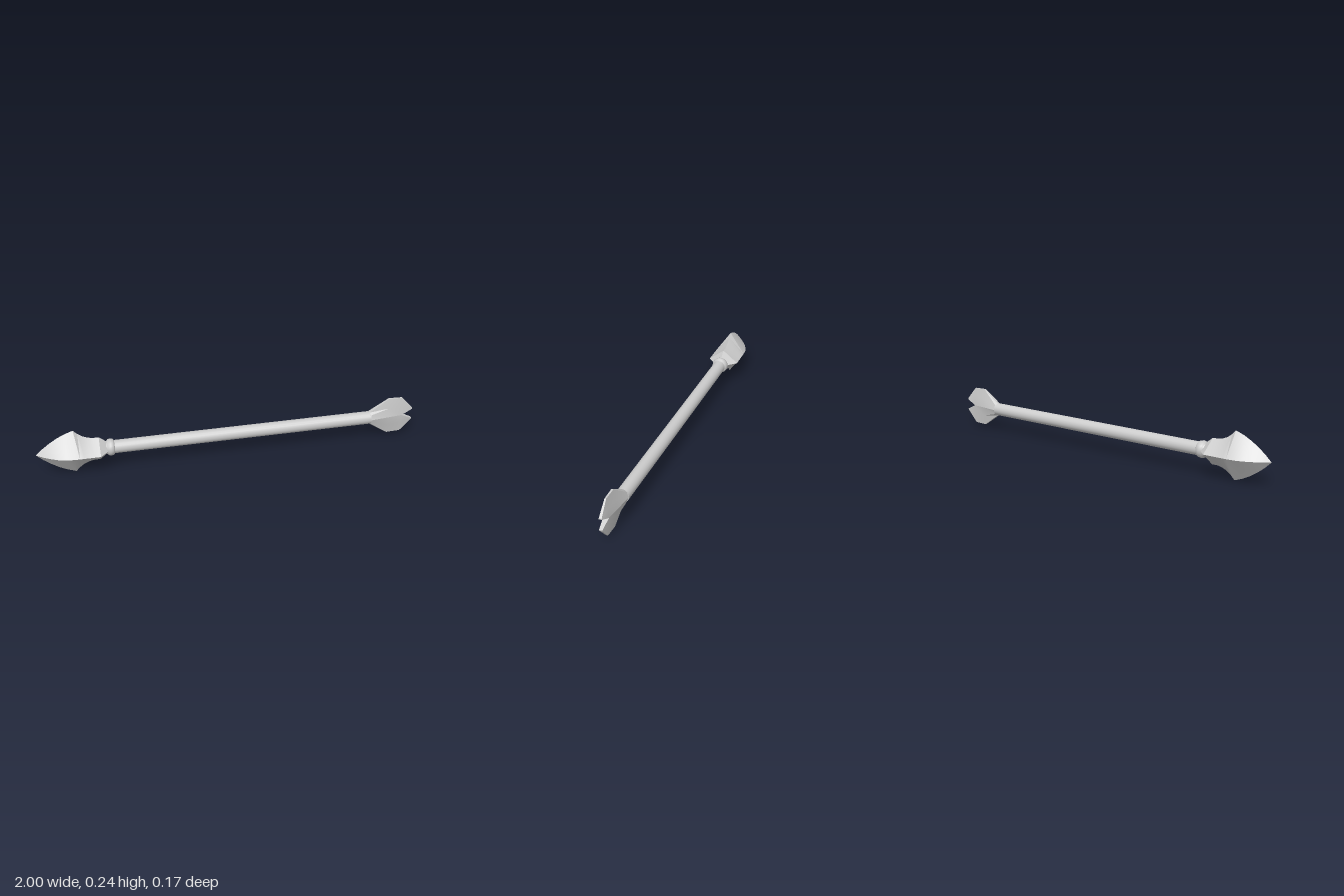
import * as THREE from 'three';
import { toCreasedNormals } from 'three/addons/utils/BufferGeometryUtils.js';

const AXIS_Y = 0.124;
const material = new THREE.MeshStandardMaterial({ color: 0xcccccc });

// Skin rings of [x, y, z] points, ordered from low to high x, with closed ends.
function loft(rings, crease) {
  const pos = [];
  const tri = (a, b, c) => pos.push(...a, ...b, ...c);
  const n = rings[0].length;
  for (let r = 0; r < rings.length - 1; r++) {
    const a = rings[r], b = rings[r + 1];
    for (let i = 0; i < n; i++) {
      const j = (i + 1) % n;
      tri(a[i], a[j], b[j]);
      tri(a[i], b[j], b[i]);
    }
  }
  const first = rings[0], last = rings[rings.length - 1];
  for (let i = 1; i < n - 1; i++) {
    tri(first[0], first[i + 1], first[i]);
    tri(last[0], last[i], last[i + 1]);
  }
  const g = new THREE.BufferGeometry();
  g.setAttribute('position', new THREE.Float32BufferAttribute(pos, 3));
  g.computeVertexNormals();
  return toCreasedNormals(g, crease);
}

function addMesh(parent, name, geometry) {
  const m = new THREE.Mesh(geometry, material);
  m.name = name;
  parent.add(m);
  return m;
}

export function createModel() {
  const model = new THREE.Group();
  model.name = 'arrow';
  const body = new THREE.Group();
  body.name = 'arrowBody';
  body.position.y = AXIS_Y;
  model.add(body);

  // Shaft
  const shaft = new THREE.CylinderGeometry(0.034, 0.034, 1.38, 20);
  shaft.rotateZ(-Math.PI / 2);
  shaft.translate(0.075, 0, 0);
  addMesh(body, 'shaft', shaft);

  // Rounded collar between shaft and head
  const collarProfile = [[0, -0.65], [0.031, -0.65], [0.034, -0.642], [0.041, -0.636], [0.044, -0.624],
    [0.041, -0.61], [0.034, -0.604], [0, -0.604]].map(([r, x]) => new THREE.Vector2(r, x));
  const collar = new THREE.LatheGeometry(collarProfile, 20);
  collar.rotateZ(-Math.PI / 2);
  addMesh(body, 'collar', toCreasedNormals(collar, 0.9));

  // Head: diamond sections given as x, half height, half depth
  const headSections = [
    [-1, 0.0005, 0.0005], [-0.965, 0.033, 0.027], [-0.93, 0.06, 0.049], [-0.89, 0.086, 0.068],
    [-0.85, 0.106, 0.08], [-0.806, 0.122, 0.083], [-0.785, 0.1, 0.083], [-0.762, 0.083, 0.083],
    [-0.737, 0.072, 0.083], [-0.71, 0.066, 0.083], [-0.68, 0.066, 0.083], [-0.642, 0.036, 0.044],
  ];
  const headRings = headSections.map(([x, h, d]) => [[x, h, 0], [x, 0, d], [x, -h, 0], [x, 0, -d]]);
  addMesh(body, 'arrowhead', loft(headRings, 0.5));

  // Tail: two mirrored lobes thinning from the round shaft to a notched blade
  // Sections: x, inner y, outer y, inner half thickness, shoulder y, shoulder and outer half thickness
  const lobeSections = [
    [0.76, 0, 0.034, 0.034, 0.024, 0.024, 0.008],
    [0.865, 0, 0.103, 0.022, 0.05, 0.015, 0.005],
    [0.94, 0, 0.101, 0.014, 0.05, 0.01, 0.004],
    [1, 0.028, 0.034, 0.008, 0.031, 0.008, 0.007],
  ];
  const lobeRings = lobeSections.map(([x, yi, yo, ti, ys, ts, to]) => [
    [x, yi, -ti], [x, ys, -ts], [x, yo, -to], [x, yo, to], [x, ys, ts], [x, yi, ti],
  ]);
  const lobe = loft(lobeRings, 0.3);
  addMesh(body, 'upperFletching', lobe);
  addMesh(body, 'lowerFletching', lobe).rotation.x = Math.PI;

  return model;
}
